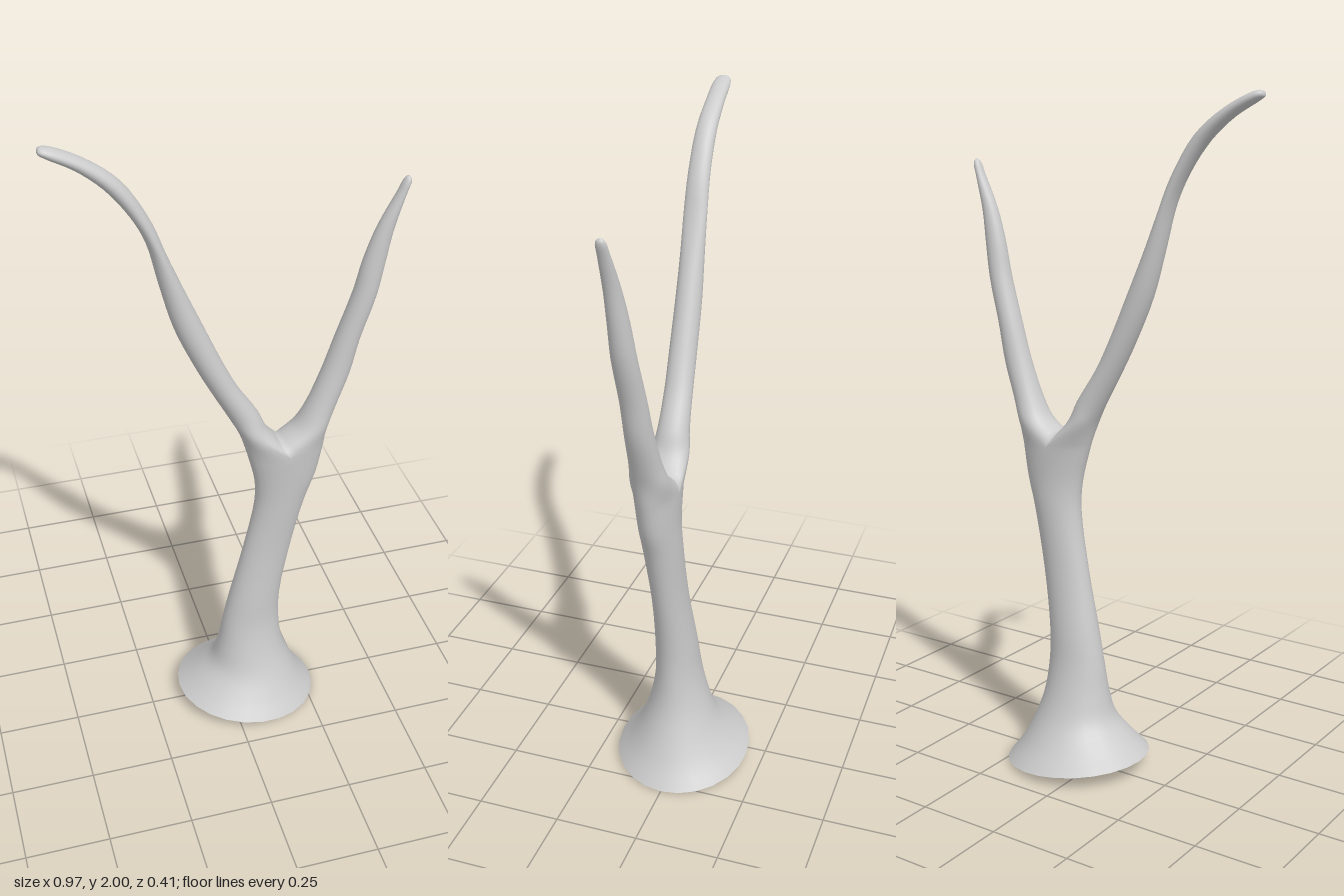
import * as THREE from 'three';
import { mergeVertices } from 'three/addons/utils/BufferGeometryUtils.js';

const SIDES = 24;
const STEPS = 4; // lengthwise subdivisions between stations

// Elliptical ring from a station: left edge x, y, right edge x, y, centre z, half depth
function ring([xl, yl, xr, yr, zc, rz]) {
  return Array.from({ length: SIDES }, (_, i) => {
    const a = (i / SIDES) * Math.PI * 2;
    const t = (1 + Math.cos(a)) / 2;
    return new THREE.Vector3(
      THREE.MathUtils.lerp(xl, xr, t),
      THREE.MathUtils.lerp(yl, yr, t),
      zc + rz * Math.sin(a)
    );
  });
}

// Smooth skin through a row of rings, appended as triangles
function skin(rings, out) {
  const columns = rings[0].map((_, i) =>
    new THREE.CatmullRomCurve3(rings.map((r) => r[i]), false, 'centripetal'));
  const rows = (rings.length - 1) * STEPS;
  const grid = columns.map((c) =>
    Array.from({ length: rows + 1 }, (_, j) => c.getPoint(j / rows)));
  for (let i = 0; i < SIDES; i++) {
    const p = grid[i], q = grid[(i + 1) % SIDES];
    for (let j = 0; j < rows; j++) {
      for (const v of [p[j], p[j + 1], q[j], q[j], p[j + 1], q[j + 1]]) out.push(v.x, v.y, v.z);
    }
  }
}

function toGeometry(positions) {
  let g = new THREE.BufferGeometry();
  g.setAttribute('position', new THREE.Float32BufferAttribute(positions, 3));
  g = mergeVertices(g, 1e-4);
  g.computeVertexNormals();
  return g;
}

const TRUNK = [
  [-0.16, 0.055, 0.285, 0.002, 0, 0.205],
  [-0.105, 0.1, 0.245, 0.06, 0.005, 0.16],
  [-0.052, 0.155, 0.208, 0.135, 0.008, 0.118],
  [-0.03, 0.23, 0.178, 0.22, 0.01, 0.089],
  [-0.015, 0.32, 0.165, 0.32, 0.012, 0.069],
  [0.005, 0.42, 0.166, 0.42, 0.015, 0.062],
  [0.045, 0.6, 0.193, 0.6, 0.022, 0.052],
  [0.079, 0.79, 0.233, 0.79, 0.03, 0.055],
  [0.074, 0.88, 0.261, 0.88, 0.035, 0.057],
  [0.05, 0.98, 0.28, 0.98, 0.038, 0.062],
];

const LEFT_TWIG = [ // the long limb, on the -x side
  [0.028, 1.05, 0.105, 1.07, 0.037, 0.055],
  [-0.002, 1.11, 0.08, 1.125, 0.037, 0.046],
  [-0.055, 1.21, 0.02, 1.22, 0.041, 0.041],
  [-0.1, 1.3, -0.02, 1.3, 0.044, 0.04],
  [-0.16, 1.44, -0.085, 1.45, 0.047, 0.038],
  [-0.198, 1.58, -0.132, 1.56, 0.05, 0.035],
  [-0.23, 1.71, -0.175, 1.665, 0.053, 0.034],
  [-0.27, 1.79, -0.215, 1.77, 0.056, 0.032],
  [-0.33, 1.87, -0.285, 1.885, 0.058, 0.03],
  [-0.4, 1.93, -0.375, 1.957, 0.058, 0.027],
  [-0.472, 1.972, -0.465, 1.998, 0.06, 0.023],
  [-0.485, 1.982, -0.481, 1.997, 0.061, 0.014],
  [-0.486, 1.989, -0.486, 1.989, 0.061, 0],
];

const RIGHT_TWIG = [ // the short limb, on the +x side
  [0.19, 1.055, 0.289, 1.045, 0.037, 0.056],
  [0.222, 1.11, 0.31, 1.11, 0.038, 0.047],
  [0.265, 1.22, 0.348, 1.22, 0.04, 0.04],
  [0.3, 1.33, 0.372, 1.33, 0.043, 0.037],
  [0.343, 1.47, 0.41, 1.465, 0.05, 0.034],
  [0.365, 1.57, 0.427, 1.56, 0.054, 0.029],
  [0.398, 1.67, 0.443, 1.66, 0.059, 0.023],
  [0.445, 1.765, 0.468, 1.755, 0.063, 0.017],
  [0.463, 1.803, 0.48, 1.798, 0.065, 0.012],
  [0.474, 1.81, 0.474, 1.81, 0.065, 0],
];

export function createModel() {
  const group = new THREE.Group();
  const material = new THREE.MeshStandardMaterial({ color: 0xcccccc });

  // Trunk and both limbs form one continuous surface
  const trunk = TRUNK.map(ring);
  const top = trunk[trunk.length - 1];
  const positions = [];
  skin(trunk, positions);

  // Each limb starts on its half of the trunk's rim, closed by a saddle across the fork
  for (const [side, stations] of [[-1, LEFT_TWIG], [1, RIGHT_TWIG]]) {
    const start = top.map((p, i) => {
      const c = Math.cos((i / SIDES) * Math.PI * 2);
      if (c * side > -1e-6) return p.clone();
      const rise = Math.abs(c);
      return new THREE.Vector3(0.165 - 0.022 * rise, 0.98 + 0.04 * rise, p.z);
    });
    skin([start, ...stations.map(ring)], positions);
  }
  const body = new THREE.Mesh(toGeometry(positions), material);
  body.name = 'forkedTrunk';
  group.add(body);

  // Flat underside
  const base = trunk[0];
  const centre = base.reduce((s, p) => s.add(p), new THREE.Vector3()).divideScalar(SIDES);
  const cap = base.flatMap((p, i) =>
    [centre, p, base[(i + 1) % SIDES]].flatMap((v) => v.toArray()));
  const underside = new THREE.Mesh(toGeometry(cap), material);
  underside.name = 'underside';
  group.add(underside);

  return group;
}
